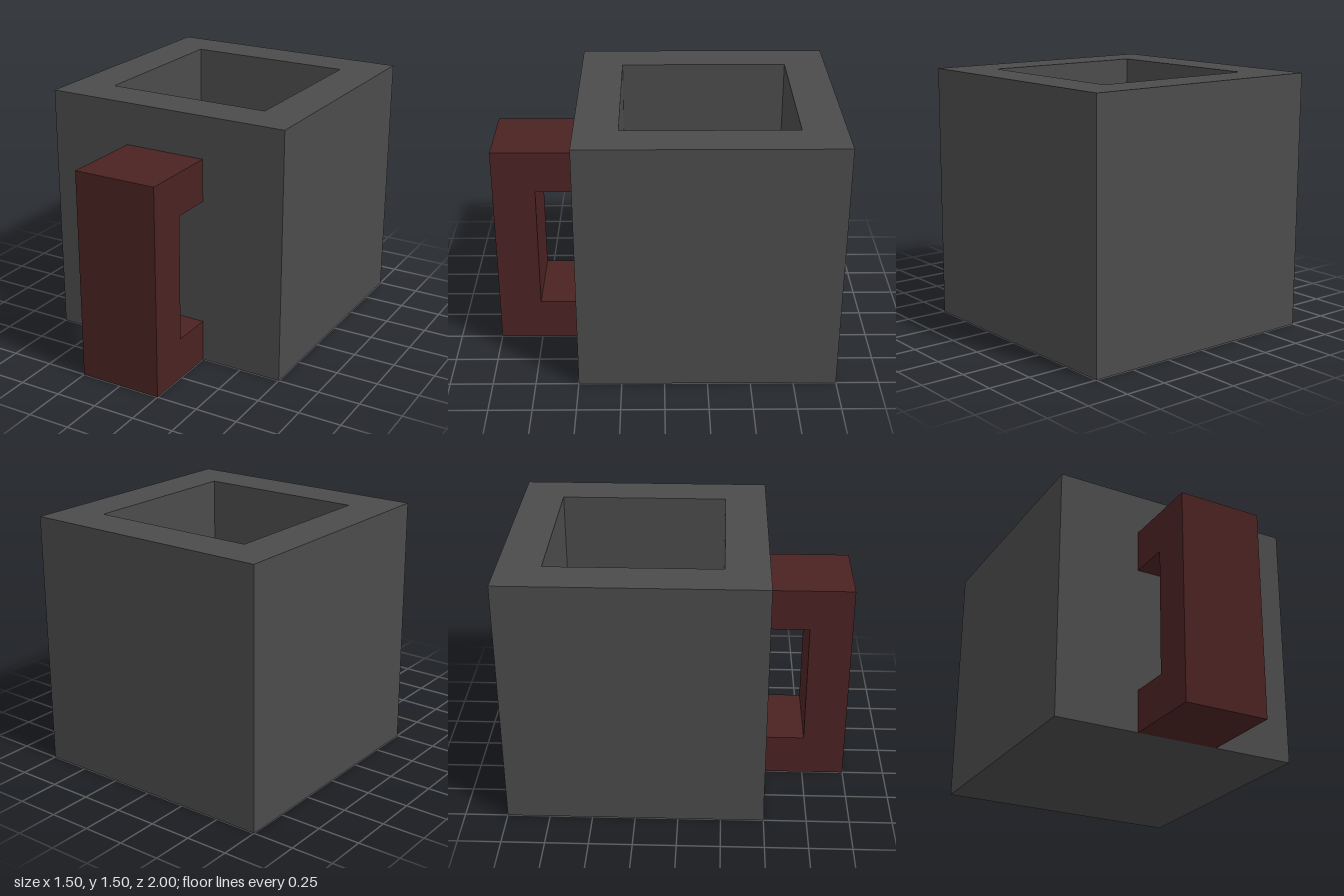
import * as THREE from 'three';

export function createModel() {
  const group = new THREE.Group();
  group.name = 'squareMug';

  const grey = new THREE.MeshStandardMaterial({ color: 0x4b4b4b });
  grey.name = 'dark grey';
  const maroon = new THREE.MeshStandardMaterial({ color: 0x4b2222 });
  maroon.name = 'dark red';

  // Square cup: four-sided lathe, profile given as half widths
  const profile = [[0, 0], [0.75, 0], [0.75, 1.5], [0.5, 1.5], [0.5, 0.25], [0, 0.25]]
    .map(([half, y]) => new THREE.Vector2(half * Math.SQRT2, y));
  const cupGeometry = new THREE.LatheGeometry(profile, 4, Math.PI / 4).toNonIndexed();
  cupGeometry.computeVertexNormals();
  const cup = new THREE.Mesh(cupGeometry, grey);
  cup.name = 'cup';
  cup.position.z = -0.25;
  group.add(cup);

  // C-shaped handle: side outline (distance from cup, height) extruded across x
  const outline = [[0, 0], [0.5, 0], [0.5, 1.25], [0, 1.25], [0, 1], [0.25, 1], [0.25, 0.25], [0, 0.25]];
  const shape = new THREE.Shape(outline.map(([d, y]) => new THREE.Vector2(d, y)));
  const handleGeometry = new THREE.ExtrudeGeometry(shape, { depth: 0.5, bevelEnabled: false });
  handleGeometry.translate(0, 0, -0.25).rotateY(-Math.PI / 2);
  const handle = new THREE.Mesh(handleGeometry, maroon);
  handle.name = 'handle';
  handle.position.z = 0.5;
  group.add(handle);

  return group;
}
